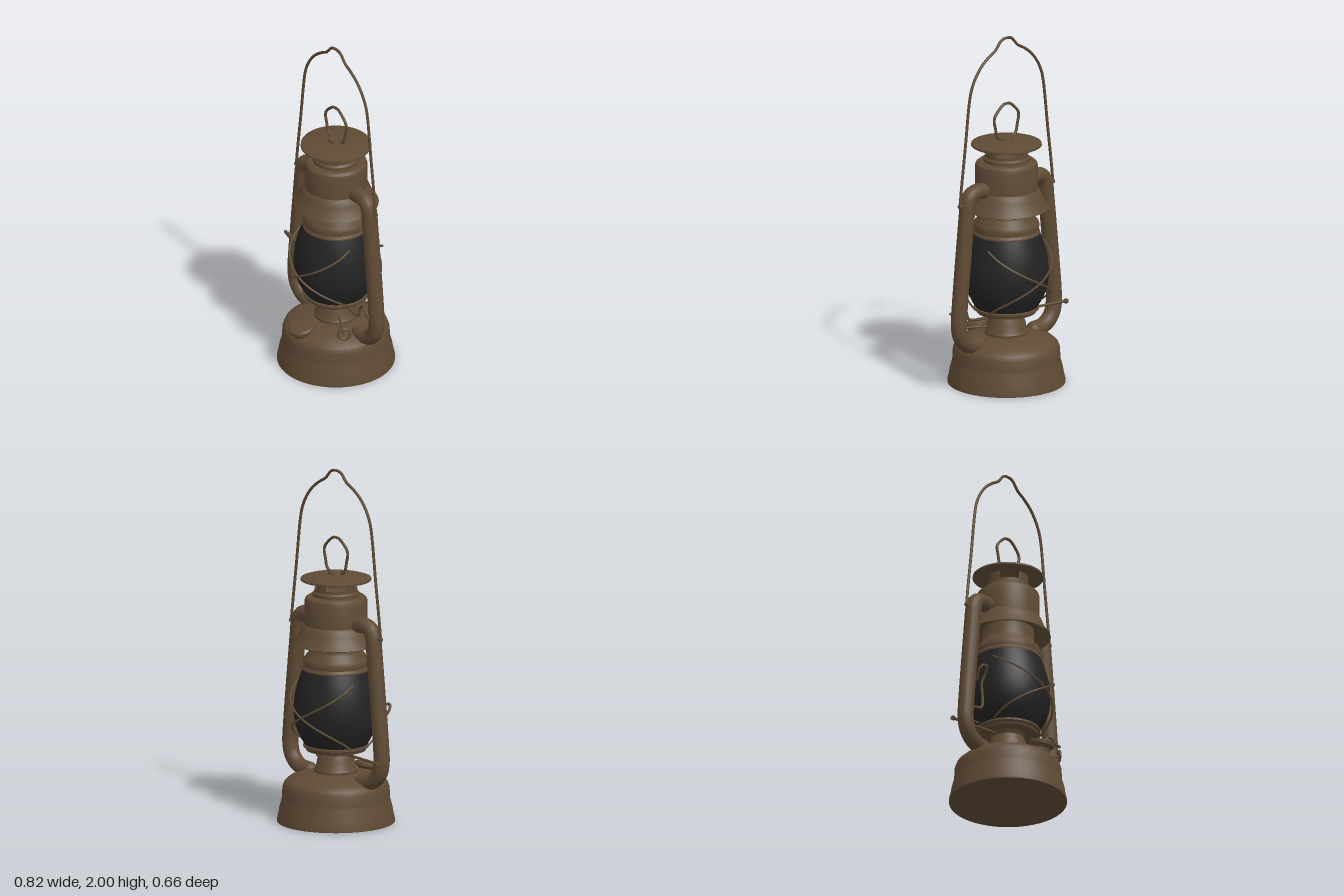
import * as THREE from 'three';
import { toCreasedNormals } from 'three/addons/utils/BufferGeometryUtils.js';

export function createModel() {
  const model = new THREE.Group();
  model.name = 'lantern';
  const metal = new THREE.MeshStandardMaterial({ color: 0x5f4b35 });
  metal.name = 'brown metal';
  const glass = new THREE.MeshStandardMaterial({ color: 0x232323 });
  glass.name = 'dark glass';

  const add = (name, geometry, material = metal, parent = model) => {
    const mesh = new THREE.Mesh(geometry, material);
    mesh.name = name;
    parent.add(mesh);
    return mesh;
  };
  // Turned part from a [radius, height] profile, listed bottom to top
  const turned = (name, profile, material = metal, crease = 0.5) => add(name, toCreasedNormals(
    new THREE.LatheGeometry(profile.map(([r, y]) => new THREE.Vector2(r, y)), 48), crease), material);
  // Rod bent smoothly through points, with closed ends
  const rod = (name, points, radius, sides = 8, segments = 64, closed = false) => {
    const path = points.map(p => new THREE.Vector3(...p));
    const curve = new THREE.CatmullRomCurve3(path, closed, 'centripetal');
    add(name, new THREE.TubeGeometry(curve, segments, radius, sides, closed));
    if (!closed) for (const p of [path[0], path[path.length - 1]]) {
      add(name + 'End', new THREE.SphereGeometry(radius, sides, 6)).position.copy(p);
    }
  };
  // Mirrors half of a path across x = 0; the last point lies on the centre line
  const mirrored = half => [...half, ...half.slice(0, -1).reverse().map(([x, y, z]) => [-x, y, z])];

  // Fuel tank
  turned('fuelTank', [[0, 0], [0.328, 0], [0.328, 0.014], [0.319, 0.05], [0.315, 0.08], [0.302, 0.125],
    [0.3, 0.14], [0.298, 0.195], [0.288, 0.222], [0.262, 0.245], [0.21, 0.265], [0.125, 0.282], [0, 0.282]]);

  // Burner cone and globe gallery
  turned('burner', [[0, 0.27], [0.12, 0.27], [0.122, 0.295], [0.112, 0.31], [0.105, 0.35], [0.09, 0.385],
    [0.1, 0.405], [0.165, 0.405], [0.17, 0.418], [0.182, 0.425], [0.182, 0.436], [0.165, 0.445], [0, 0.445]]);

  // Globe
  turned('globe', [[0, 0.436], [0.172, 0.436], [0.19, 0.465], [0.213, 0.51], [0.229, 0.56], [0.236, 0.61],
    [0.235, 0.66], [0.229, 0.72], [0.218, 0.77], [0.203, 0.82], [0.186, 0.865], [0, 0.865]], glass, 0.7);

  // Chimney collar above the globe
  turned('chimneyCollar', [[0, 0.855], [0.186, 0.855], [0.188, 0.87], [0.18, 0.885], [0.184, 0.91], [0.178, 0.93],
    [0.15, 0.965], [0.145, 0.98], [0.145, 1.06], [0, 1.06]]);

  // Hood with flared skirt
  turned('hood', [[0.14, 1.05], [0.17, 1.05], [0.232, 1.007], [0.238, 1.01], [0.215, 1.045], [0.198, 1.08],
    [0.187, 1.11], [0.176, 1.12], [0.176, 1.25], [0.171, 1.268], [0.157, 1.28], [0.13, 1.283],
    [0.13, 1.3], [0.12, 1.31], [0.12, 1.325], [0, 1.325]]);

  // Vent posts between the hood and the cap
  metal.side = THREE.DoubleSide;
  for (let i = 0; i < 4; i++) {
    const arc = 0.66;
    add('ventPost', new THREE.CylinderGeometry(0.12, 0.12, 0.065, 6, 1, true, i * Math.PI / 2 - arc / 2, arc))
      .position.y = 1.35;
  }

  // Rain cap with its centre stud
  turned('cap', [[0, 1.368], [0.12, 1.368], [0.14, 1.378], [0.19, 1.368], [0.197, 1.372], [0.196, 1.382],
    [0.17, 1.39], [0.11, 1.4], [0.045, 1.405], [0.042, 1.418], [0, 1.42]]);
  rod('capLoop', mirrored([[-0.035, 1.413, 0], [-0.06, 1.418, 0], [-0.075, 1.44, 0], [-0.084, 1.48, 0],
    [-0.094, 1.525, 0], [-0.088, 1.55, 0], [-0.05, 1.59, 0], [-0.025, 1.607, 0], [0, 1.611, 0]]), 0.008);

  // Side air tubes
  for (const s of [1, -1]) {
    rod(s > 0 ? 'leftAirTube' : 'rightAirTube', [[0.15, 1.135], [0.2, 1.145], [0.245, 1.144], [0.28, 1.126],
      [0.298, 1.08], [0.305, 1.02], [0.335, 0.74], [0.362, 0.46], [0.365, 0.39], [0.35, 0.325],
      [0.31, 0.279], [0.265, 0.261], [0.21, 0.256]].map(([x, y]) => [s * x, y, 0]), 0.045, 16, 72);
    // Pivot ear where the carrying handle hooks on
    const ear = add('handlePivot', new THREE.CylinderGeometry(0.011, 0.011, 0.06, 10));
    ear.rotation.z = Math.PI / 2;
    ear.position.set(s * 0.335, 1.085, 0);
  }

  // Carrying handle
  rod('carryHandle', mirrored([[-0.335, 1.083, 0], [-0.354, 1.085, 0], [-0.352, 1.13, 0], [-0.317, 1.41, 0],
    [-0.282, 1.69, 0], [-0.266, 1.75, 0], [-0.235, 1.81, 0], [-0.19, 1.865, 0], [-0.13, 1.91, 0],
    [-0.085, 1.935, 0], [-0.062, 1.96, 0], [-0.04, 1.983, 0], [0, 1.992, 0]]), 0.008, 8, 120);

  // Crossed guard wires on the front and back of the globe
  for (const face of [1, -1]) for (const s of [1, -1]) {
    const points = [];
    for (let i = 0; i <= 10; i++) {
      const t = i / 10, angle = (t - 0.5) * 2.5;
      const r = 0.215 - 0.02 * t + 0.065 * Math.sin(Math.PI * t);
      points.push([s * r * Math.sin(angle), 0.805 - 0.365 * t, face * r * Math.cos(angle)]);
    }
    rod('globeGuardWire', points, 0.006, 6, 40);
  }

  // Globe lifting rod with a cranked end
  rod('liftRod', [[-0.395, 0.395, -0.065], [-0.32, 0.395, -0.052], [0, 0.395, 0], [0.235, 0.395, 0.035],
    [0.255, 0.405, 0.04], [0.272, 0.46, 0.043], [0.292, 0.487, 0.046], [0.32, 0.487, 0.05],
    [0.338, 0.46, 0.055], [0.37, 0.452, 0.062]], 0.008);
  const rodTip = add('liftRodTip', new THREE.CylinderGeometry(0.014, 0.014, 0.014, 10));
  rodTip.rotation.z = Math.PI / 2;
  rodTip.position.set(-0.395, 0.395, -0.065);

  // Wire latch beside the right air tube
  rod('latchLoop', [[-0.325, 0.46, 0.035], [-0.288, 0.465, 0.05], [-0.288, 0.62, 0.055], [-0.285, 0.66, 0.075],
    [-0.3, 0.695, 0.1], [-0.33, 0.695, 0.098], [-0.342, 0.67, 0.08], [-0.325, 0.62, 0.05]], 0.008);

  // Wick spindle and thumb ring
  rod('wickSpindle', [[0.06, 0.325, 0.035], [0.15, 0.325, 0.085], [0.255, 0.325, 0.145]], 0.007, 8, 16);
  const ring = add('wickRing', new THREE.TorusGeometry(0.032, 0.008, 8, 24));
  ring.position.set(0.262, 0.327, 0.148);
  ring.rotation.y = 0.95;

  // Filler cap, tipped towards the front
  const filler = turned('fillerCap', [[0, -0.05], [0.05, -0.05], [0.05, -0.012], [0.064, -0.005], [0.072, 0.004],
    [0.072, 0.02], [0.064, 0.027], [0.035, 0.03], [0, 0.03]]);
  filler.position.set(0, 0.27, 0.242);
  filler.rotation.x = 0.24;

  return model;
}
